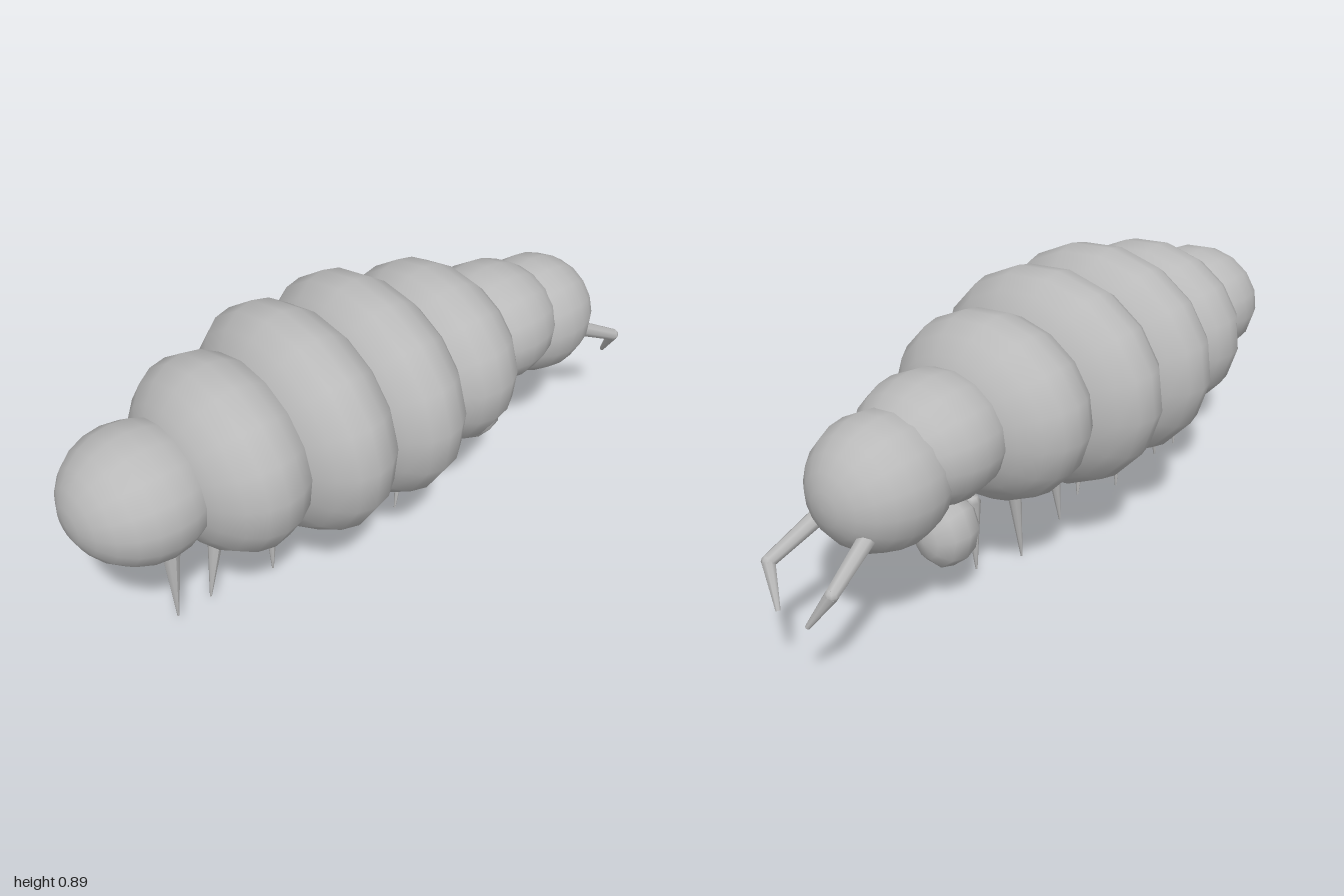
import * as THREE from 'three';

export function createModel() {
  const model = new THREE.Group();
  const grey = new THREE.MeshStandardMaterial({ color: 0xbababa });
  grey.name = 'shell grey';

  const add = (geometry, name) => {
    const mesh = new THREE.Mesh(geometry, grey);
    mesh.name = name;
    model.add(mesh);
    return mesh;
  };

  // Ellipsoid with its poles on the body axis (x)
  const ellipsoid = (name, x, y, rx, ry, rz, sides = 16, rings = 12) => {
    const g = new THREE.SphereGeometry(1, sides, rings);
    g.rotateZ(-Math.PI / 2).rotateX(-0.08);
    g.scale(rx, ry, rz).translate(x, y, 0);
    add(g, name);
  };

  // Tapered round limb from a to b
  const limb = (name, a, b, ra, rb, sides = 8) => {
    const from = new THREE.Vector3(...a), to = new THREE.Vector3(...b);
    const dir = to.clone().sub(from);
    const g = new THREE.CylinderGeometry(rb, ra, dir.length(), sides);
    const mesh = add(g, name);
    mesh.position.copy(from).add(to).multiplyScalar(0.5);
    mesh.quaternion.setFromUnitVectors(new THREE.Vector3(0, 1, 0), dir.normalize());
  };

  // Body segments: centre x, height radius, depth radius
  const segments = [
    [-0.79, 0.184, 0.212], [-0.53, 0.275, 0.318], [-0.28, 0.331, 0.38],
    [-0.03, 0.331, 0.38], [0.225, 0.275, 0.318], [0.475, 0.184, 0.212],
  ];
  segments.forEach(([x, ry, rz], i) =>
    ellipsoid(i ? 'bodySegment' + i : 'tailSegment', x, 0.566, 0.21, ry, rz));

  // Head and the small ball below the throat
  ellipsoid('head', 0.668, 0.517, 0.198, 0.188, 0.192);
  ellipsoid('throatBall', 0.43, 0.256, 0.095, 0.116, 0.095, 9, 6);

  // Single row of pointed legs: top x, tip x, tip y
  const legs = [
    [-0.715, -0.717, 0.055], [-0.562, -0.604, 0.06], [-0.376, -0.381, 0.035],
    [-0.186, -0.173, 0.095], [-0.038, -0.083, 0.045], [0.145, 0.104, 0.002],
    [0.322, 0.309, 0.06],
  ];
  const profile = [[0.003, 0], [0.026, 0.93], [0.018, 0.99], [0, 1]];
  legs.forEach(([topX, tipX, tipY], i) => {
    const height = 0.315 - tipY;
    const points = [new THREE.Vector2(0, 0),
      ...profile.map(([r, t]) => new THREE.Vector2(r, t * height))];
    const g = new THREE.LatheGeometry(points, 8);
    // Lean the leg by shearing along x
    const p = g.attributes.position;
    for (let k = 0; k < p.count; k++) {
      p.setX(k, p.getX(k) + (topX - tipX) * p.getY(k) / height);
    }
    g.translate(tipX, tipY, 0);
    g.computeVertexNormals();
    add(g, 'leg' + (i + 1));
  });

  // Two-part hooked mandibles
  for (const s of [1, -1]) {
    const side = s > 0 ? 'left' : 'right';
    const base = [0.8, 0.443, s * 0.088];
    const elbow = [0.956, 0.365, s * 0.118];
    const tip = [0.99, 0.26, s * 0.055];
    limb(side + 'MandibleBase', base, elbow, 0.025, 0.019);
    limb(side + 'MandibleTip', elbow, tip, 0.019, 0.007);
    const joint = add(new THREE.SphereGeometry(0.019, 8, 6), side + 'MandibleJoint');
    joint.position.set(...elbow);
  }

  return model;
}
